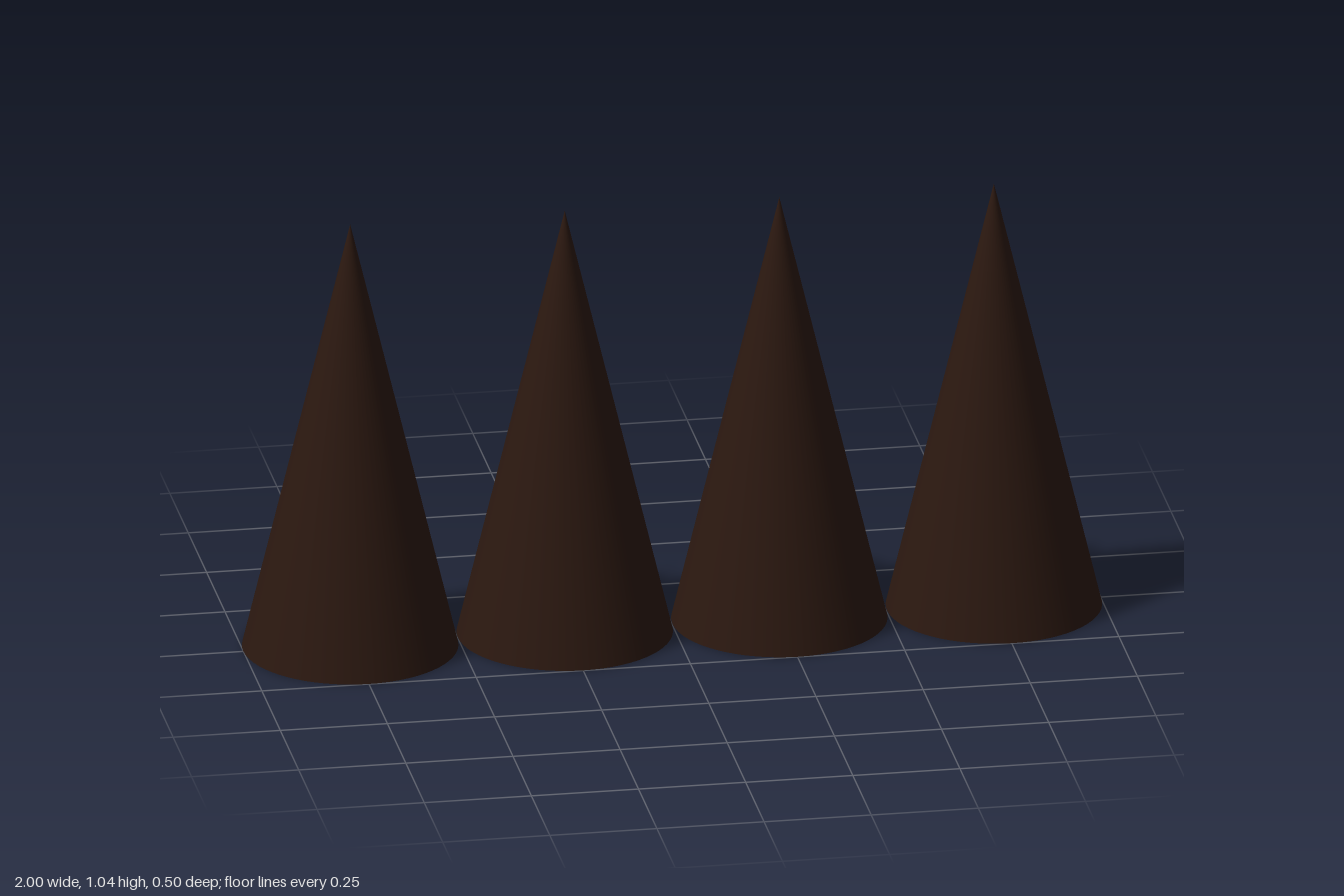
import * as THREE from 'three';

export function createModel() {
  const model = new THREE.Group();
  model.name = 'coneRow';

  const radius = 0.249, height = 1.04, count = 4;
  const spacing = (2 - 2 * radius) / (count - 1);
  const material = new THREE.MeshStandardMaterial({ color: 0x2b1810 });

  // One smooth cone with a closed flat base, standing on the ground
  const geometry = new THREE.ConeGeometry(radius, height, 64);
  geometry.translate(0, height / 2, 0);

  // Row of equal cones along x
  for (let i = 0; i < count; i++) {
    const cone = new THREE.Mesh(geometry, material);
    cone.name = `cone${i + 1}`;
    cone.position.x = (i - (count - 1) / 2) * spacing;
    model.add(cone);
  }
  return model;
}
